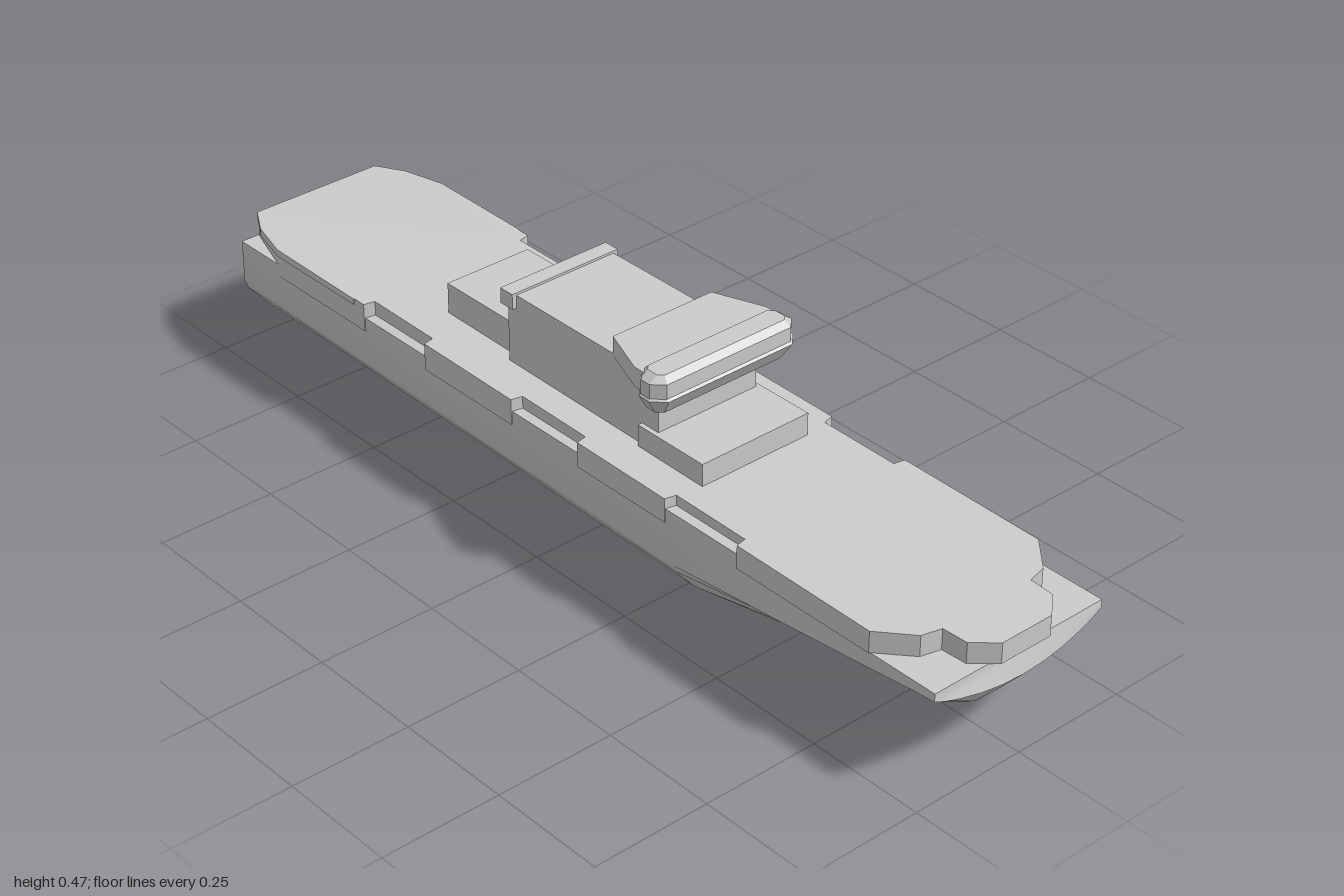
import * as THREE from 'three';
import { toCreasedNormals } from 'three/addons/utils/BufferGeometryUtils.js';

const grey = new THREE.MeshStandardMaterial({ color: 0xcccccc });
const inner = new THREE.MeshStandardMaterial({ color: 0xcccccc, side: THREE.BackSide });

// Skin closed rings of [x, y, z] points, with optional end caps
function loft(rings, crease, capStart = true, capEnd = true) {
  const n = rings[0].length, index = [];
  for (let i = 0; i < rings.length - 1; i++) {
    for (let j = 0; j < n; j++) {
      const k = (j + 1) % n, a = i * n, b = a + n;
      index.push(a + j, a + k, b + k, a + j, b + k, b + j);
    }
  }
  const last = (rings.length - 1) * n;
  for (let k = 1; k < n - 1; k++) {
    if (capStart) index.push(0, k + 1, k);
    if (capEnd) index.push(last, last + k, last + k + 1);
  }
  const geo = new THREE.BufferGeometry();
  geo.setAttribute('position', new THREE.Float32BufferAttribute(rings.flat(2), 3));
  geo.setIndex(index);
  return toCreasedNormals(geo, crease);
}

// Slab from half a deck plan of [x, z], listed bow to stern; top follows the sheer
const sheer = (z) => 0.275 - 0.01 * z;
function deckSlab(half, bottom) {
  const plan = [...half, ...half.map(([x, z]) => [-x, z]).reverse()];
  const shape = new THREE.Shape(plan.map(([x, z]) => new THREE.Vector2(x, -z)));
  const geo = new THREE.ExtrudeGeometry(shape, { depth: 1, bevelEnabled: false });
  geo.rotateX(-Math.PI / 2);
  const p = geo.attributes.position;
  for (let i = 0; i < p.count; i++) p.setY(i, p.getY(i) > 0.5 ? sheer(p.getZ(i)) : bottom);
  geo.computeVertexNormals();
  return geo;
}

export function createModel() {
  const ship = new THREE.Group();
  const add = (name, geo, material = grey) => {
    const mesh = new THREE.Mesh(geo, material);
    mesh.name = name;
    ship.add(mesh);
    return mesh;
  };
  const box = (name, halfX, y0, y1, z0, z1) =>
    add(name, new THREE.BoxGeometry(2 * halfX, y1 - y0, z1 - z0)
      .translate(0, (y0 + y1) / 2, (z0 + z1) / 2));

  // Hull: half sections from keel to crease, then a vertical side up to the top
  const forward = [[0, 0.008], [0.015, 0.018], [0.035, 0.06], [0.09, 0.125], [0.15, 0.16], [0.205, 0.188]];
  const mid = [[0, 0.003], [0.06, 0.01], [0.085, 0.016], [0.15, 0.065], [0.197, 0.12], [0.205, 0.138]];
  const aft = [[0, 0.018], [0.06, 0.02], [0.085, 0.03], [0.15, 0.08], [0.197, 0.135], [0.205, 0.155]];
  const stern = aft.map(([x, y]) => [x, Math.max(y, 0.08)]);
  const sections = [
    [0.998, 0.222, [[0, 0.17], [0.05, 0.172], [0.1, 0.178], [0.15, 0.188], [0.18, 0.196], [0.205, 0.205]]],
    [0.95, 0.222, [[0, 0.115], [0.02, 0.13], [0.05, 0.147], [0.11, 0.167], [0.16, 0.185], [0.205, 0.201]]],
    [0.89, 0.222, [[0, 0.05], [0.015, 0.07], [0.04, 0.11], [0.1, 0.148], [0.155, 0.176], [0.205, 0.196]]],
    [0.82, 0.222, forward],
    [0.819, 0.25, forward],
    [0.6, 0.25, [[0, 0.005], [0.03, 0.01], [0.065, 0.045], [0.12, 0.095], [0.17, 0.137], [0.205, 0.165]]],
    [0.33, 0.25, mid],
    [-0.805, 0.25, aft],
    [-0.83, 0.246, stern],
    [-0.98, 0.246, stern],
  ];
  const rings = sections.map(([z, top, half]) => {
    const side = [...half, [0.205, top]];
    const ring = [...side.slice(1).reverse(), ...side.map(([x, y]) => [-x, y])];
    // the bow edge curves slightly back towards its corners
    return ring.map(([x, y]) => [x, y, z > 0.9 ? z - 0.3 * x * x : z]);
  });
  add('hull', loft(rings, 0.5, true, false));

  // Transom with its open stern bay
  const transom = new THREE.Shape(rings[rings.length - 1].map(([x, y]) => new THREE.Vector2(x, y)));
  transom.holes.push(new THREE.Path([[-0.12, 0.175], [-0.12, 0.237], [0.12, 0.237], [0.12, 0.175]]
    .map(([x, y]) => new THREE.Vector2(x, y))));
  add('transom', new THREE.ShapeGeometry(transom).rotateY(Math.PI).translate(0, 0, -0.98));
  const bay = new THREE.BoxGeometry(0.24, 0.062, 0.15).translate(0, 0.206, -0.905);
  bay.setIndex([...bay.index.array].slice(0, 30));
  add('sternBay', bay, inner);

  // Main deck with three notches along each side
  const edge = 0.207;
  const plan = [[0.06, 0.999], [0.105, 0.96], [0.108, 0.905], [0.15, 0.895], [edge, 0.83]];
  for (const [z0, z1] of [[0.5, 0.31], [0.07, -0.12], [-0.38, -0.57]]) {
    plan.push([edge, z0], [0.183, z0 - 0.005], [0.183, z1 + 0.005], [edge, z1]);
  }
  add('mainDeck', deckSlab([...plan, [edge, -0.85], [0.165, -0.975]], 0.221));
  add('sternDeckLip', deckSlab([[0.209, -0.6], [0.209, -0.85], [0.185, -0.94], [0.15, -1]], 0.268));

  // Superstructure
  box('forwardDeckhouse', 0.13, 0.25, 0.319, 0.15, 0.325);
  box('tower', 0.12, 0.25, 0.43, -0.23, 0.195);
  box('aftDeckhouse', 0.1, 0.25, 0.345, -0.44, -0.2);
  box('aftPlatform', 0.13, 0.402, 0.435, -0.24, -0.205);

  // Wheelhouse: chamfered rings from roof to underside
  const wheelhouse = [
    [0.473, 0.155, 0.195, 0.24, 0.01],
    [0.46, 0.173, 0.185, 0.252, 0.022],
    [0.43, 0.173, 0.185, 0.252, 0.022],
    [0.426, 0.176, 0.18, 0.257, 0.025],
    [0.39, 0.153, 0.187, 0.235, 0.012],
  ].map(([y, x, z0, z1, c]) => [
    [x, z0 + c], [x, z1 - c], [x - c, z1], [c - x, z1],
    [-x, z1 - c], [-x, z0 + c], [c - x, z0], [x - c, z0],
  ].map(([px, pz]) => [px, y, pz]));
  add('wheelhouse', loft(wheelhouse, 0.3));

  // Tapered house behind the wheelhouse
  const taper = [0.466, 0.425].map((y) =>
    [[0.12, 0.07], [0.16, 0.175], [0.16, 0.2], [-0.16, 0.2], [-0.16, 0.175], [-0.12, 0.07]]
      .map(([x, z]) => [x, y, z]));
  add('chartHouse', loft(taper, 0.2));

  return ship;
}
